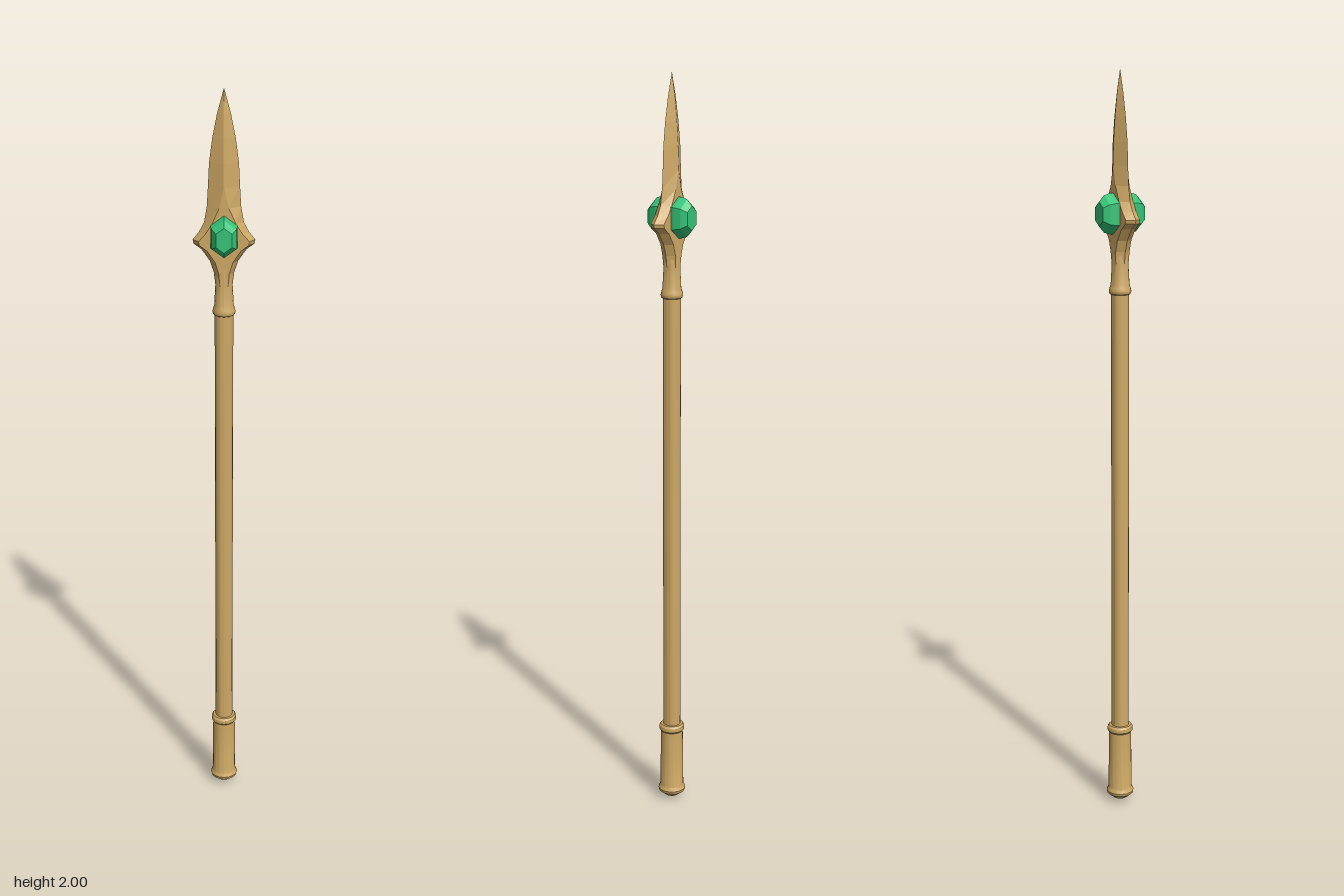
import * as THREE from 'three';
import { toCreasedNormals } from 'three/addons/utils/BufferGeometryUtils.js';

// Skin a stack of equal-length rings (counter-clockwise about the stacking axis) and cap both ends.
function loft(rings) {
  const pos = [];
  const tri = (a, b, c) => pos.push(...a, ...b, ...c);
  const n = rings[0].length;
  for (let r = 0; r < rings.length - 1; r++) {
    const lo = rings[r], hi = rings[r + 1];
    for (let i = 0; i < n; i++) {
      const j = (i + 1) % n;
      tri(lo[i], lo[j], hi[j]);
      tri(lo[i], hi[j], hi[i]);
    }
  }
  const first = rings[0], last = rings[rings.length - 1];
  for (let i = 1; i < n - 1; i++) {
    tri(first[0], first[i + 1], first[i]);
    tri(last[0], last[i], last[i + 1]);
  }
  const geo = new THREE.BufferGeometry();
  geo.setAttribute('position', new THREE.Float32BufferAttribute(pos, 3));
  geo.computeVertexNormals();
  return geo;
}

// Turned part from [radius, height] pairs, bottom to top.
function turned(profile) {
  const pts = profile.map(([r, y]) => new THREE.Vector2(r, y));
  return toCreasedNormals(new THREE.LatheGeometry(pts, 16), 0.55);
}

export function createModel() {
  const group = new THREE.Group();
  const gold = new THREE.MeshStandardMaterial({ color: 0xcfa965 });
  gold.name = 'gold';
  const emerald = new THREE.MeshStandardMaterial({ color: 0x34c477 });
  emerald.name = 'emerald';

  const add = (name, geo, mat) => {
    const mesh = new THREE.Mesh(geo, mat);
    mesh.name = name;
    group.add(mesh);
  };

  // Grip sleeve with a pointed pommel and an upper ring
  add('pommelSleeve', turned([
    [0, 0], [0.018, 0.008], [0.036, 0.022], [0.038, 0.03], [0.033, 0.04],
    [0.031, 0.205], [0.035, 0.21], [0.035, 0.22], [0.031, 0.226], [0.022, 0.226],
  ]), gold);

  // Long pole
  add('shaft', turned([[0.024, 0.2], [0.024, 1.44]]), gold);

  // Collar and tapering neck under the head
  add('neck', turned([
    [0.023, 1.427], [0.028, 1.43], [0.03, 1.437], [0.028, 1.445], [0.025, 1.455],
    [0.022, 1.51], [0.021, 1.56], [0, 1.6],
  ]), gold);

  // Spear head: [height, half width, half flat width, half thickness]
  const sections = [
    [1.5, 0.021, 0.01, 0.019], [1.54, 0.026, 0.013, 0.021], [1.57, 0.036, 0.022, 0.021],
    [1.6, 0.057, 0.042, 0.021], [1.615, 0.077, 0.062, 0.021], [1.625, 0.079, 0.064, 0.021],
    [1.645, 0.063, 0.046, 0.021], [1.67, 0.05, 0.03, 0.021], [1.71, 0.043, 0.012, 0.021],
    [1.76, 0.04, 0.001, 0.021], [1.82, 0.037, 0.001, 0.019], [1.88, 0.029, 0.001, 0.015],
    [1.94, 0.017, 0.001, 0.009], [2, 0.0005, 0.0002, 0.0005],
  ];
  add('spearHead', loft(sections.map(([y, x, f, z]) => [
    [x, y, 0], [f, y, -z], [-f, y, -z], [-x, y, 0], [-f, y, z], [f, y, z],
  ])), gold);

  // Hexagonal cut gem set through the head: [depth, scale]
  const cuts = [[-0.063, 0.6], [-0.048, 0.9], [-0.03, 1], [0.03, 1], [0.048, 0.9], [0.063, 0.6]];
  const outline = [[0.034, -0.028], [0.034, 0.028], [0, 0.053], [-0.034, 0.028], [-0.034, -0.028], [0, -0.053]];
  add('gem', loft(cuts.map(([z, s]) => outline.map(([x, y]) => [x * s, 1.638 + y * s, z]))), emerald);

  return group;
}
